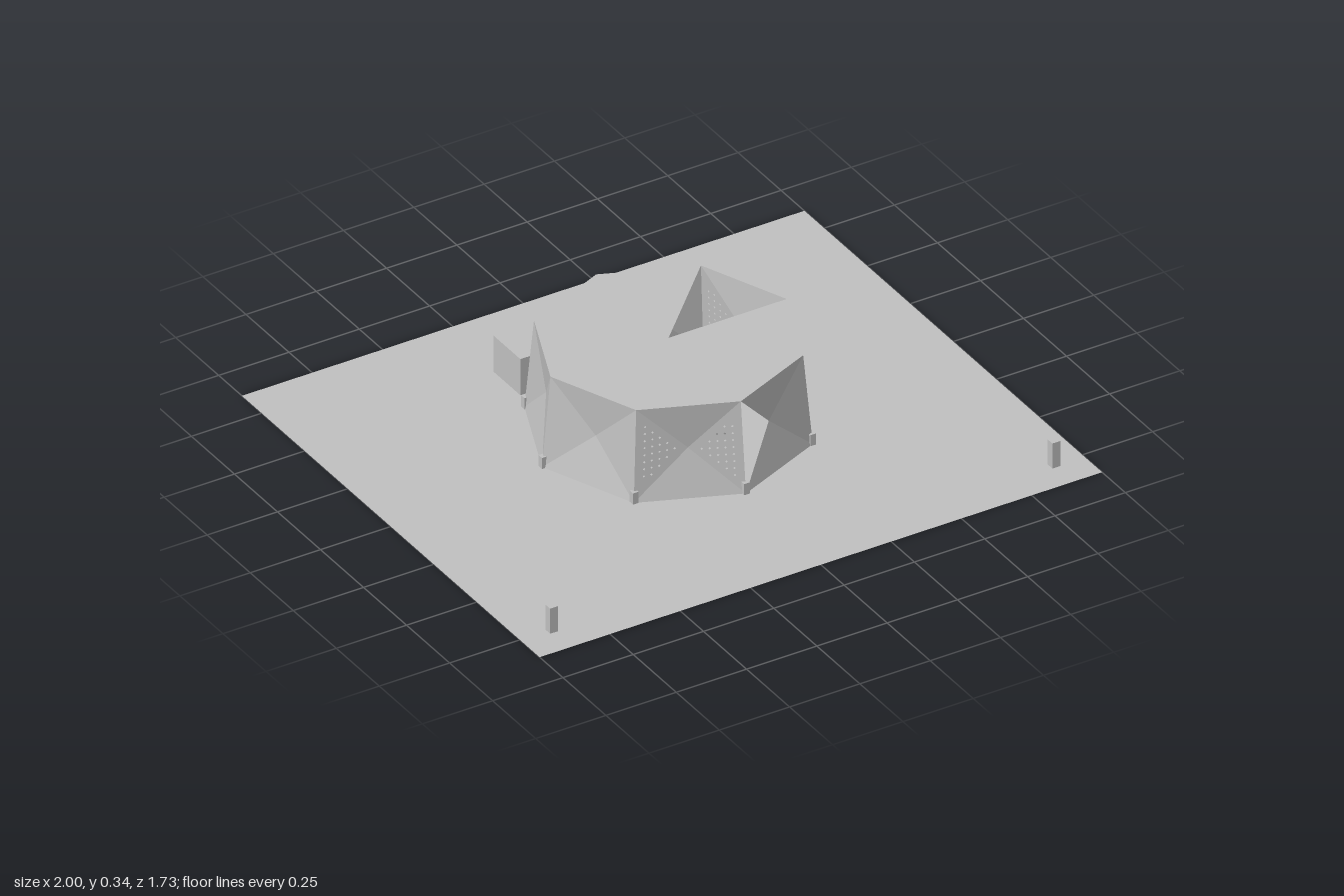
import * as THREE from 'three';

export function createModel() {
  const model = new THREE.Group();
  const grey = new THREE.MeshStandardMaterial({ color: 0xc0c0c0, side: THREE.DoubleSide });
  grey.name = 'concreteGrey';
  const CZ = -0.02, Y0 = 0.02, Y1 = 0.335, R0 = 0.45, R1 = 0.42;

  const add = (name, geometry, x = 0, y = 0, z = 0, parent = model) => {
    const mesh = new THREE.Mesh(geometry, grey);
    mesh.name = name;
    mesh.position.set(x, y, z);
    parent.add(mesh);
    return mesh;
  };
  const block = (name, w, h, d, x, bottom, z) =>
    add(name, new THREE.BoxGeometry(w, h, d), x, bottom + h / 2, z);
  // Octagon corner k, counted from +x towards +z
  const corner = (k, r, y) =>
    new THREE.Vector3(r * Math.cos(k * Math.PI / 4), y, CZ + r * Math.sin(k * Math.PI / 4));

  // Flat triangle, optionally pierced by a grid of small square holes
  function triangle(a, b, c, pierced) {
    if (!pierced) {
      const g = new THREE.BufferGeometry().setFromPoints([a, b, c]);
      g.computeVertexNormals();
      return g;
    }
    const u = b.clone().sub(a), len = u.length();
    u.normalize();
    const n = u.clone().cross(c.clone().sub(a)).normalize();
    const v = n.clone().cross(u);
    const d = c.clone().sub(a), px = d.dot(u), py = d.dot(v);
    const shape = new THREE.Shape([new THREE.Vector2(0, 0), new THREE.Vector2(len, 0), new THREE.Vector2(px, py)]);
    const step = 0.024, s = 0.004;
    for (let y = 0.03; y < py - 0.03; y += step) {
      const left = px * y / py, right = len + (px - len) * y / py;
      for (let x = left + 0.035; x < right - 0.035; x += step) {
        shape.holes.push(new THREE.Path([
          new THREE.Vector2(x - s, y), new THREE.Vector2(x, y - s),
          new THREE.Vector2(x + s, y), new THREE.Vector2(x, y + s)]));
      }
    }
    const g = new THREE.ShapeGeometry(shape);
    return g.applyMatrix4(new THREE.Matrix4().makeBasis(u, v, n).setPosition(a));
  }

  // Ground sheet and the two posts at its front
  add('ground', new THREE.PlaneGeometry(2, 1.73).rotateX(-Math.PI / 2));
  for (const side of [-1, 1]) block('gatePost', 0.028, 0.09, 0.028, side * 0.893, 0.004, 0.76);

  // Folded facade: each panel is four triangles meeting at a set-back centre
  const facade = new THREE.Group();
  facade.name = 'facade';
  model.add(facade);
  for (let k = 0; k < 8; k++) {
    const b0 = corner(k, R0, Y0), b1 = corner(k + 1, R0, Y0);
    const t0 = corner(k, R1, Y1), t1 = corner(k + 1, R1, Y1);
    const mid = b0.clone().add(b1).add(t0).add(t1).multiplyScalar(0.25);
    const inset = k === 0 ? 0.008 : 0.026;
    const angle = (k + 0.5) * Math.PI / 4;
    mid.x -= inset * Math.cos(angle);
    mid.z -= inset * Math.sin(angle);
    const pierced = k === 7 || k === 2;
    add('upperFold', triangle(t0, t1, mid), 0, 0, 0, facade);
    add('lowerFold', triangle(b1, b0, mid), 0, 0, 0, facade);
    add('sideFold', triangle(b0, t0, mid, pierced), 0, 0, 0, facade);
    // The front panel keeps one fold open as the entrance
    if (k !== 1) add('sideFold', triangle(t1, b1, mid, pierced), 0, 0, 0, facade);
  }

  // Feet at the octagon corners
  for (let k = 0; k < 8; k++) {
    const p = corner(k, R0 - 0.004, Y0);
    block('foot', 0.02, 0.04, 0.02, p.x, Y0, p.z);
  }

  // Floor, and a roof with one wedge left open
  add('floor', new THREE.CircleGeometry(R0, 8).rotateX(-Math.PI / 2), 0, Y0, CZ);
  add('roof', new THREE.CircleGeometry(R1, 7, Math.PI / 4, Math.PI * 7 / 4).rotateX(-Math.PI / 2), 0, Y1, CZ);

  // Inner counter below the roof opening, and a small desk by the entrance
  block('counter', 0.22, 0.1, 0.08, 0.18, Y0, -0.06);
  block('desk', 0.055, 0.028, 0.08, 0.028, 0.112, 0.2);

  // Annex at the back
  block('annex', 0.585, 0.13, 0.155, -0.002, Y0, -0.477);
  return model;
}
